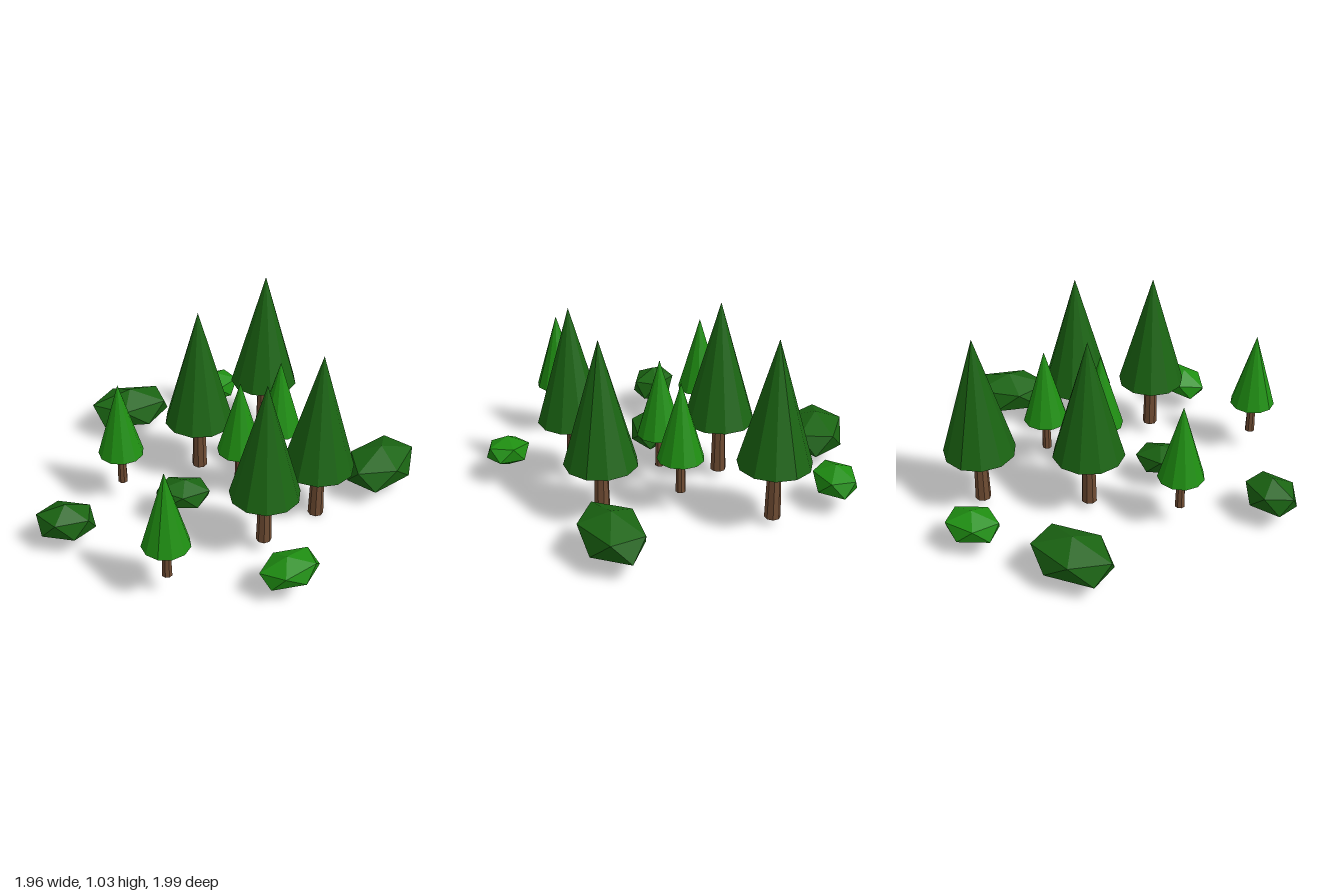
import * as THREE from 'three';

const mat = (color) => new THREE.MeshStandardMaterial({ color, flatShading: true });

export function createModel() {
  const model = new THREE.Group();
  const bark = mat(0x6f4c33);
  const darkLeaf = mat(0x1a6412);
  const lightLeaf = mat(0x1f8f12);

  const add = (parent, name, geometry, material) => {
    const mesh = new THREE.Mesh(geometry, material);
    mesh.name = name;
    parent.add(mesh);
    return mesh;
  };

  // Conifer: tapered trunk plus one cone of foliage
  function tree(name, [x, z, ground, base, top, radius, spin], leaf) {
    const g = new THREE.Group();
    g.name = name;
    const trunkH = base - ground + 0.01;
    const trunk = add(g, 'trunk', new THREE.CylinderGeometry(radius * 0.175, radius * 0.22, trunkH, 8), bark);
    trunk.position.y = ground + trunkH / 2;
    const foliage = add(g, 'foliage', new THREE.ConeGeometry(radius, top - base, 11), leaf);
    foliage.position.y = (base + top) / 2;
    g.position.set(x, 0, z);
    g.rotation.y = spin;
    model.add(g);
  }

  // x, z, trunk foot, foliage base, tip, radius, turn
  [
    [-0.21, -0.185, 0.04, 0.352, 1.035, 0.197, 0.2],
    [-0.02, -0.74, 0.04, 0.352, 1.035, 0.197, 0],
    [0.39, 0.36, 0.07, 0.367, 1.02, 0.188, 0.4],
    [0.55, -0.05, 0, 0.315, 1.0, 0.197, 0.3],
  ].forEach((t) => tree('largeTree', t, darkLeaf));
  [
    [-0.5, 0.237, 0.125, 0.32, 0.75, 0.126, 0],
    [0.23, -0.315, 0.125, 0.32, 0.75, 0.126, 0.2],
    [0.1, 0.03 - 0.06, 0.125, 0.32, 0.75, 0.126, 0.4],
    [0.06, 0.87, 0.125, 0.32, 0.75, 0.126, 0.1],
  ].forEach((t) => tree('smallTree', t, lightLeaf));

  // Bush: icosahedron standing on a vertex, stretched, tilted and turned
  function bush(x, y, z, long, high, wide, turn, tilt, leaf) {
    const geo = new THREE.IcosahedronGeometry(1, 0);
    geo.rotateZ(Math.atan(2 / (1 + Math.sqrt(5))));
    geo.scale(long / 0.894, high, wide / 0.85);
    geo.rotateZ(THREE.MathUtils.degToRad(tilt));
    geo.rotateY(THREE.MathUtils.degToRad(turn));
    add(model, 'bush', geo, leaf).position.set(x, y, z);
  }

  bush(-0.39, 0.16, -0.86, 0.15, 0.09, 0.11, 58, 0, lightLeaf);
  bush(-0.773, 0.165, -0.425, 0.235, 0.122, 0.15, 41, 0, darkLeaf);
  bush(0.812, 0.165, -0.408, 0.233, 0.122, 0.152, 73, 0, darkLeaf);
  bush(-0.118, 0.165, 0.265, 0.157, 0.083, 0.108, 45, -8, darkLeaf);
  bush(-0.593, 0.165, 0.722, 0.155, 0.105, 0.113, 25, 0, darkLeaf);
  bush(0.63, 0.165, 0.643, 0.155, 0.083, 0.108, 37, 12, lightLeaf);

  return model;
}
